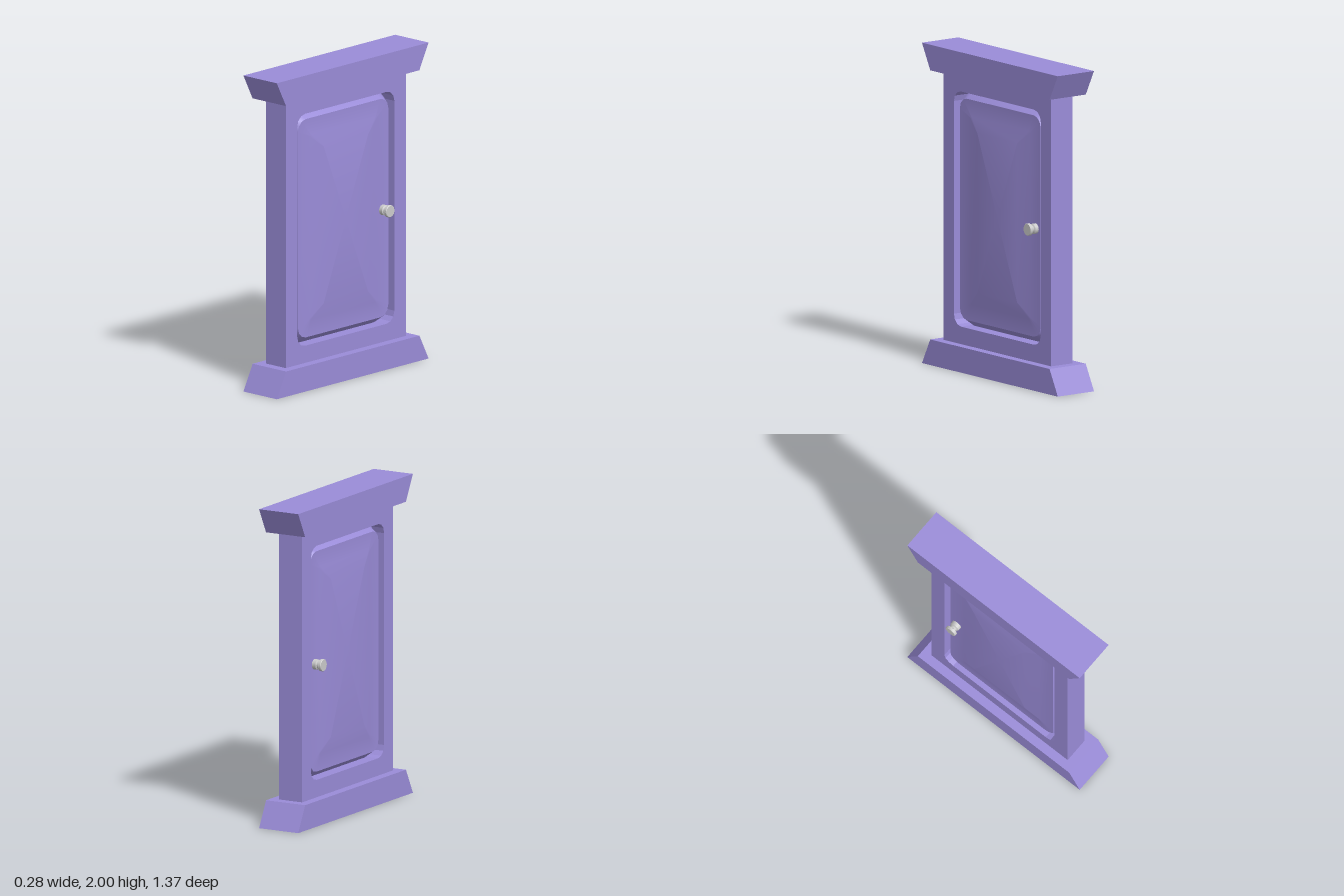
import * as THREE from 'three';
import { toCreasedNormals } from 'three/addons/utils/BufferGeometryUtils.js';

const paint = new THREE.MeshStandardMaterial({ color: 0x9a8cd8 });
const metal = new THREE.MeshStandardMaterial({ color: 0xcccccc });
const MID_Y = 1.003;

// Corner-rounded rectangle in the z-y plane, counted from +z towards +y
function roundedRect(halfZ, halfY, r, steps = 3) {
  const pts = [];
  [[1, 1], [-1, 1], [-1, -1], [1, -1]].forEach(([sz, sy], q) => {
    for (let i = 0; i <= steps; i++) {
      const a = (q + i / steps) * Math.PI / 2;
      pts.push(new THREE.Vector2(
        sz * (halfZ - r) + r * Math.cos(a),
        MID_Y + sy * (halfY - r) + r * Math.sin(a)));
    }
  });
  return pts;
}

// Extrude a z-y outline along x, centred on x = 0
function slab(name, shape, depth) {
  const geo = new THREE.ExtrudeGeometry(shape, { depth, bevelEnabled: false });
  geo.rotateY(-Math.PI / 2).translate(depth / 2, 0, 0);
  const mesh = new THREE.Mesh(geo, paint);
  mesh.name = name;
  return mesh;
}

const polygon = (pts) => new THREE.Shape(pts.map(([z, y]) => new THREE.Vector2(z, y)));

// Door leaf: rounded rectangles stepping from one face round the edge to the other
function doorGeometry() {
  // halfZ, halfY, corner radius, x
  const half = [
    [0, 0, 0, 0.083],
    [0.2, 0.5, 0.004, 0.083],
    [0.3, 0.586, 0.01, 0.06],
    [0.406, 0.691, 0.07, 0.06],
    [0.437, 0.734, 0.1, 0],
  ];
  const mirrored = half.slice(0, -1).reverse().map(([z, y, r, x]) => [z, y, r, -x]);
  const rings = [...half, ...mirrored];
  const positions = [], index = [];
  let n = 0;
  for (const [hz, hy, r, x] of rings) {
    const pts = roundedRect(hz, hy, r);
    n = pts.length;
    pts.forEach((p) => positions.push(x, p.y, p.x));
  }
  for (let i = 0; i < rings.length - 1; i++) {
    for (let j = 0; j < n; j++) {
      const a = i * n + j, b = i * n + (j + 1) % n;
      if (i > 0) index.push(a, b, a + n);
      if (i < rings.length - 2) index.push(b, b + n, a + n);
    }
  }
  // flat centre on the far side
  const last = (rings.length - 2) * n;
  for (let j = 0; j < n; j++) index.push(last + j, last + (j + 1) % n, last + n);
  const geo = new THREE.BufferGeometry();
  geo.setAttribute('position', new THREE.Float32BufferAttribute(positions, 3));
  geo.setIndex(index);
  return toCreasedNormals(geo, 0.5);
}

// Turned knob with a flared head, pointing along +x
function knobGeometry() {
  const profile = [[0, 0.05], [0.033, 0.05], [0.033, 0.085], [0.025, 0.09],
    [0.027, 0.104], [0.039, 0.108], [0.039, 0.122], [0.036, 0.126], [0, 0.126]]
    .map(([r, h]) => new THREE.Vector2(r, h));
  const geo = new THREE.LatheGeometry(profile, 12).rotateZ(-Math.PI / 2);
  return toCreasedNormals(geo, 0.6);
}

export function createModel() {
  const group = new THREE.Group();
  group.name = 'doorway';

  // Flared plinth and lintel
  group.add(slab('base', polygon([[-0.683, 0], [0.683, 0], [0.6, 0.16], [-0.6, 0.16]]), 0.28));
  group.add(slab('lintel', polygon([[-0.6, 1.84], [0.6, 1.84], [0.683, 2], [-0.683, 2]]), 0.28));

  // Frame with opening
  const outline = polygon([[-0.54, 0.16], [0.54, 0.16], [0.54, 1.84], [-0.54, 1.84]]);
  outline.holes.push(new THREE.Path(roundedRect(0.437, 0.734, 0.07)));
  group.add(slab('frame', outline, 0.164));

  // Door leaf with raised panels
  const door = new THREE.Mesh(doorGeometry(), paint);
  door.name = 'door';
  group.add(door);

  // A knob on each face
  const knobGeo = knobGeometry();
  for (const side of [1, -1]) {
    const knob = new THREE.Mesh(knobGeo, metal);
    knob.name = side > 0 ? 'leftKnob' : 'rightKnob';
    knob.position.set(0, 0.99, -0.355);
    if (side < 0) knob.rotation.y = Math.PI;
    group.add(knob);
  }
  return group;
}
